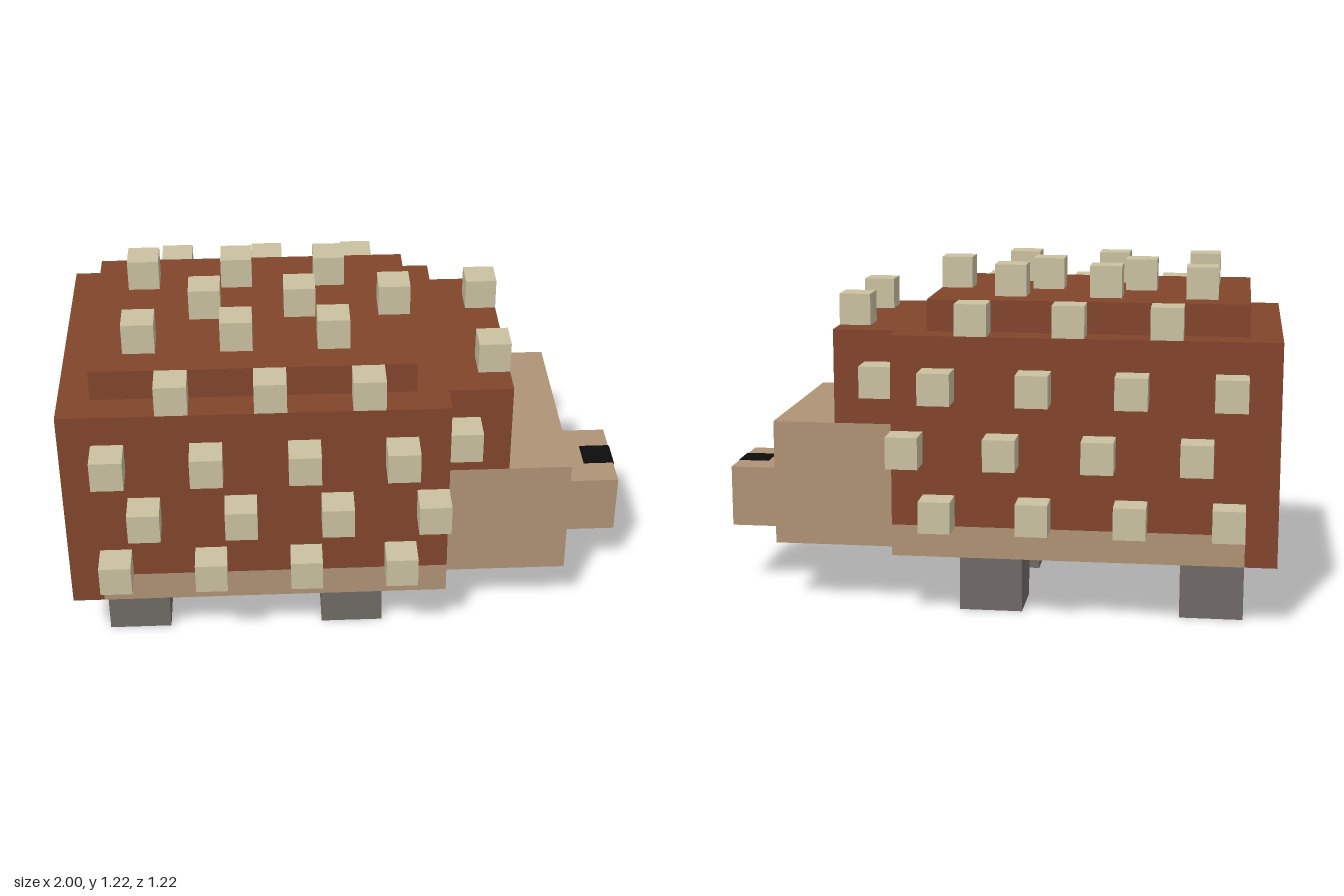
import * as THREE from 'three';

const U = 1 / 9; // one block
const T = 0.03; // painted plate thickness, in blocks

const material = (name, color) => {
  const m = new THREE.MeshStandardMaterial({ color });
  m.name = name;
  return m;
};

export function createModel() {
  const coat = material('coatBrown', 0x82452c);
  const skin = material('skinTan', 0xaf9375);
  const quill = material('quillCream', 0xc9c1a0);
  const foot = material('footGrey', 0x6f6a66);
  const black = material('black', 0x0d0d0d);

  const model = new THREE.Group();
  model.name = 'hedgehog';

  // Box from its minimum and maximum corners, in blocks
  const box = (name, mat, x0, x1, y0, y1, z0, z1, parent = model) => {
    const geo = new THREE.BoxGeometry((x1 - x0) * U, (y1 - y0) * U, (z1 - z0) * U);
    const mesh = new THREE.Mesh(geo, mat);
    mesh.position.set((x0 + x1) / 2 * U, (y0 + y1) / 2 * U, (z0 + z1) / 2 * U);
    mesh.name = name;
    parent.add(mesh);
  };

  // Body
  box('coat', coat, -8, 3, 3, 9, -4.5, 4.5);
  box('rump', coat, -9, -8, 2, 9, -4.5, 4.5);
  box('belly', skin, -8, 3, 2, 3, -4.5, 4.5);
  box('backRidge', coat, -8, 2, 9, 10, -3.5, 3.5);
  box('neckCoat', coat, 3, 5, 6, 9, -3.5, 3.5);

  // Head
  box('head', skin, 3, 7, 2, 6, -3.5, 3.5);
  box('snout', skin, 7, 9, 2, 4, -1.5, 1.5);
  box('noseFront', black, 9, 9 + T, 3, 4, -0.5, 0.5);
  box('noseTop', black, 8, 9, 4, 4 + T, -0.5, 0.5);

  const quills = new THREE.Group();
  quills.name = 'quills';
  model.add(quills);
  const addQuill = (x, y, z) => box('quill', quill, x, x + 1, y, y + 1, z - 0.5, z + 0.5, quills);

  // Mirrored pairs: eyes, legs and side quills
  for (const s of [-1, 1]) {
    box('eye', black, 7, 7 + T, 4, 5, s * 2 - 0.5, s * 2 + 0.5);
    for (const x of [-8, -1]) box('leg', foot, x, x + 2, 0, 2, s * 2.5 - 1, s * 2.5 + 1);

    for (const x of [-8, -5, -2, 1]) {
      addQuill(x, 7, s * 5);
      addQuill(x + 1, 5, s * 5);
      addQuill(x, 3, s * 5);
    }
    for (const x of [-6, -3, 0]) {
      addQuill(x, 9, s * 4); // shoulder row
      addQuill(x - 1, 10, s * 2); // ridge row
    }
    addQuill(3, 7, s * 4); // neck side
    addQuill(4, 9, s * 2); // neck top
  }
  // Centre ridge row
  for (const x of [-5, -2, 1]) addQuill(x, 10, 0);

  return model;
}
